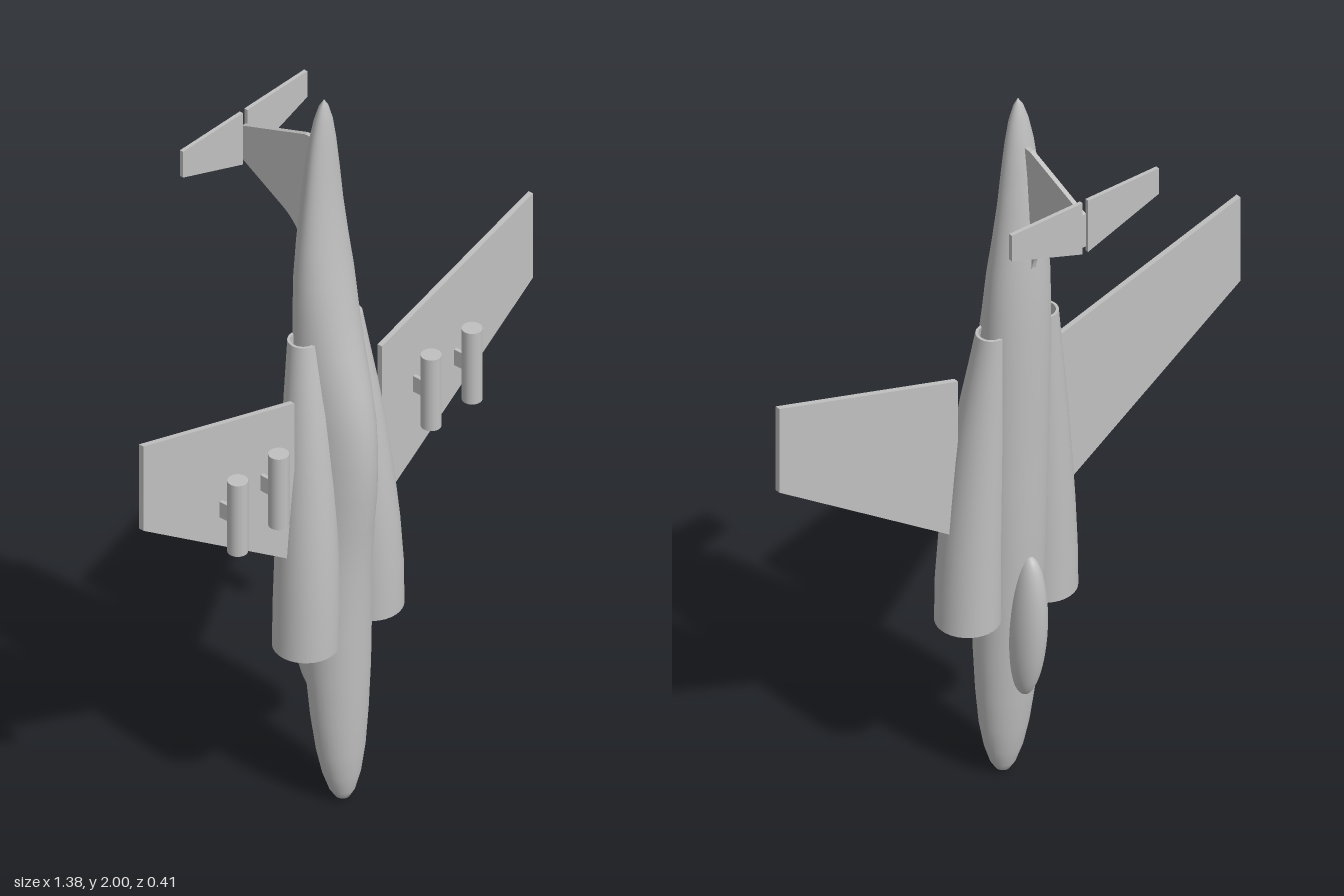
import * as THREE from 'three';
import { mergeGeometries } from 'three/addons/utils/BufferGeometryUtils.js';

const SEG = 32;

// Skin over horizontal rings: { y, x, mid, w, back, belly }
function loft(rings) {
  const pos = [], idx = [];
  for (const r of rings) {
    for (let j = 0; j < SEG; j++) {
      const t = (j / SEG) * Math.PI * 2, s = Math.sin(t);
      pos.push(r.x + r.w * Math.cos(t), r.y, r.mid + (s > 0 ? r.belly : r.back) * s);
    }
  }
  for (let i = 0; i < rings.length - 1; i++) {
    for (let j = 0; j < SEG; j++) {
      const k = (j + 1) % SEG;
      const a = i * SEG + j, b = i * SEG + k, c = a + SEG, d = b + SEG;
      idx.push(a, c, b, b, c, d);
    }
  }
  const g = new THREE.BufferGeometry();
  g.setAttribute('position', new THREE.Float32BufferAttribute(pos, 3));
  g.setIndex(idx);
  g.computeVertexNormals();
  return g;
}

// Flat plate with its outline in x, y, centred on a given z
function plate(points, z, depth) {
  const shape = new THREE.Shape(points.map(([x, y]) => new THREE.Vector2(x, y)));
  const g = new THREE.ExtrudeGeometry(shape, { depth, bevelEnabled: false });
  return g.translate(0, 0, z - depth / 2);
}

export function createModel() {
  const group = new THREE.Group();
  const grey = new THREE.MeshStandardMaterial({ color: 0xc0c0c0, side: THREE.DoubleSide });
  grey.name = 'airframe grey';
  const add = (name, geometry) => {
    const m = new THREE.Mesh(geometry, grey);
    m.name = name;
    group.add(m);
    return m;
  };

  // Fuselage, nose down: y, half width, back z, widest z, belly z
  const body = [
    [0, 0, 0.115, 0.115, 0.115],
    [0.008, 0.018, 0.095, 0.114, 0.132],
    [0.03, 0.032, 0.082, 0.112, 0.144],
    [0.08, 0.049, 0.066, 0.11, 0.156],
    [0.15, 0.064, 0.053, 0.107, 0.163],
    [0.25, 0.076, 0.04, 0.102, 0.168],
    [0.38, 0.085, 0.028, 0.096, 0.173],
    [0.52, 0.089, 0.016, 0.09, 0.176],
    [0.68, 0.09, 0.007, 0.083, 0.18],
    [0.8, 0.09, 0.003, 0.077, 0.19],
    [0.9, 0.09, 0.001, 0.073, 0.202],
    [1.0, 0.09, -0.001, 0.07, 0.205],
    [1.1, 0.09, -0.004, 0.067, 0.199],
    [1.2, 0.09, -0.006, 0.063, 0.18],
    [1.3, 0.089, -0.008, 0.059, 0.154],
    [1.4, 0.087, -0.009, 0.056, 0.134],
    [1.5, 0.083, -0.008, 0.053, 0.117],
    [1.6, 0.072, -0.004, 0.05, 0.101],
    [1.7, 0.06, 0.003, 0.049, 0.089],
    [1.8, 0.049, 0.011, 0.05, 0.082],
    [1.88, 0.038, 0.021, 0.051, 0.077],
    [1.94, 0.026, 0.032, 0.053, 0.072],
    [1.98, 0.013, 0.043, 0.054, 0.064],
    [2, 0, 0.055, 0.055, 0.055],
  ].map(([y, w, b, m, f]) => ({ y, x: 0, w, mid: m, back: m - b, belly: f - m }));
  add('fuselage', loft(body));

  // Canopy on the back of the nose
  const canopy = new THREE.SphereGeometry(1, 32, 24).scale(0.045, 0.207, 0.056);
  canopy.rotateX(-0.06).translate(0, 0.475, 0.02);
  add('canopy', canopy);

  // Engine ducts: y, centre x, radius; hollow with a thin rim
  const duct = [
    [0.5, 0.115, 0.08], [0.62, 0.113, 0.08], [0.75, 0.108, 0.077], [0.85, 0.103, 0.073],
    [0.95, 0.098, 0.068], [1.05, 0.093, 0.062], [1.15, 0.087, 0.055],
    [1.25, 0.082, 0.046], [1.345, 0.077, 0.038],
  ];

  for (const s of [1, -1]) {
    const side = s > 0 ? 'left' : 'right';
    const wall = (t) => duct.map(([y, x, r]) => ({
      y, x: s * x, mid: 0.02 + r, w: r - t, back: r - t, belly: r - t,
    }));
    const outer = wall(0), inner = wall(0.007).reverse();
    add(side + 'EngineDuct', mergeGeometries([
      loft(outer), loft([outer.at(-1), inner[0]]), loft(inner), loft([inner.at(-1), outer[0]]),
    ]));

    // Swept wing
    add(side + 'Wing', plate(
      [[0.155, 0.765], [0.69, 1.135], [0.69, 1.38], [0.155, 1.22]].map(([x, y]) => [s * x, y]),
      0.093, 0.014));

    // Tailplane half
    add(side + 'Tailplane', plate(
      [[0.008, 1.695], [0.22, 1.77], [0.22, 1.845], [0.008, 1.845]].map(([x, y]) => [s * x, y]),
      -0.2, 0.01));

    // Stores hung under the wing on short pylons
    for (const x of [0.27, 0.415]) {
      add(side + 'Store', new THREE.CylinderGeometry(0.025, 0.025, 0.205, 24)
        .translate(s * x, 1.058, 0.153));
      add(side + 'Pylon', new THREE.BoxGeometry(0.01, 0.045, 0.04)
        .translate(s * x, 1.053, 0.115));
    }
  }

  // Tail fin with a curved fillet, drawn as distance behind the back and height
  const fin = new THREE.Shape();
  fin.moveTo(-0.03, 1.53);
  fin.lineTo(0.005, 1.53);
  fin.quadraticCurveTo(0.015, 1.6, 0.075, 1.635);
  fin.lineTo(0.2, 1.71);
  fin.lineTo(0.2, 1.805);
  fin.lineTo(0, 1.875);
  fin.lineTo(-0.04, 1.875);
  const finGeometry = new THREE.ExtrudeGeometry(fin, { depth: 0.012, bevelEnabled: false });
  add('tailFin', finGeometry.translate(0, 0, -0.006).rotateY(Math.PI / 2));

  return group;
}
